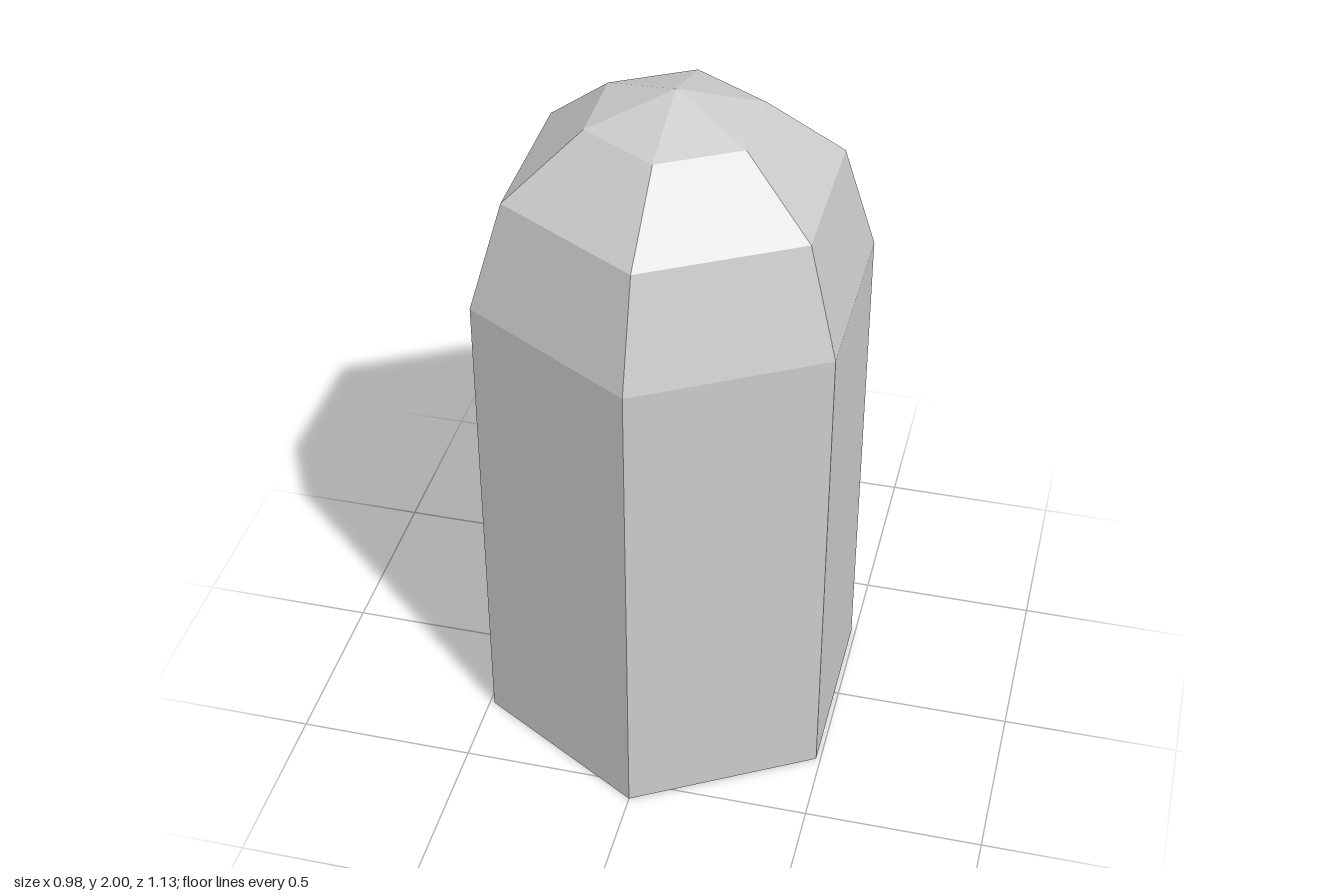
import * as THREE from 'three';

const SIDES = 6;
const RADIUS = 0.563;
const SHOULDER = 1.43;

// Hexagonal solid turned from a profile of [radius, height], listed bottom to top
function hexTurned(name, profile, material) {
  const points = profile.map(([r, y]) => new THREE.Vector2(r, y));
  const mesh = new THREE.Mesh(new THREE.LatheGeometry(points, SIDES), material);
  mesh.name = name;
  return mesh;
}

export function createModel() {
  const group = new THREE.Group();
  group.name = 'hexagonalDomedPillar';
  const material = new THREE.MeshStandardMaterial({ color: 0xcccccc, flatShading: true });

  // Straight shaft with a closed base
  group.add(hexTurned('shaft', [[0, 0], [RADIUS, 0], [RADIUS, SHOULDER]], material));

  // Faceted dome in three tiers up to the apex
  group.add(hexTurned('dome', [[RADIUS, SHOULDER], [0.467, 1.74], [0.244, 1.922], [0, 2]], material));

  return group;
}
